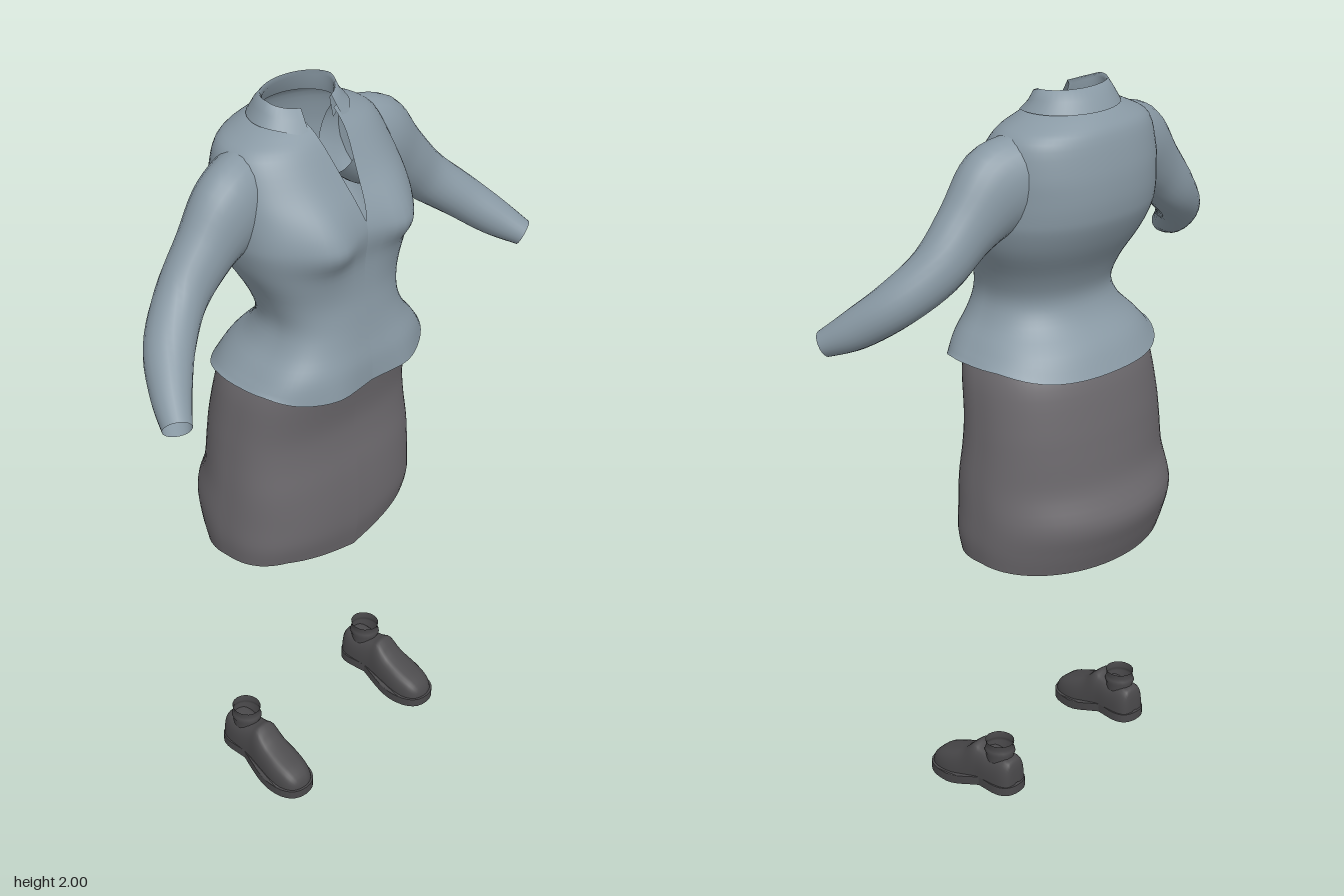
import * as THREE from 'three';

const mat = (name, color) => {
  const m = new THREE.MeshStandardMaterial({ color, side: THREE.DoubleSide });
  m.name = name;
  return m;
};

// Catmull-Rom interpolation between rows of numbers
function smooth(rows, n) {
  const out = [];
  const at = (i) => rows[Math.max(0, Math.min(rows.length - 1, i))];
  for (let i = 0; i < rows.length - 1; i++) {
    for (let k = 0; k < n; k++) {
      const t = k / n;
      out.push(rows[i].map((b, c) => {
        const a = at(i - 1)[c], d = at(i + 1)[c], e = at(i + 2)[c];
        return 0.5 * (2 * b + (d - a) * t + (2 * a - 5 * b + 4 * d - e) * t * t
          + (3 * b - a - 3 * d + e) * t * t * t);
      }));
    }
  }
  out.push(rows[rows.length - 1].slice());
  return out;
}

// Skin over rings of points; closed rings share their first and last column
function loft(rings, closed = true, flip = false) {
  const n = rings[0].length, idx = [];
  for (let r = 0; r < rings.length - 1; r++) {
    for (let c = 0; c < (closed ? n : n - 1); c++) {
      const a = r * n + c, b = r * n + (c + 1) % n, d = a + n, e = b + n;
      if (flip) idx.push(a, d, b, b, d, e);
      else idx.push(a, b, d, b, e, d);
    }
  }
  const g = new THREE.BufferGeometry();
  g.setAttribute('position', new THREE.Float32BufferAttribute(rings.flat(2), 3));
  g.setIndex(idx);
  g.computeVertexNormals();
  return g;
}

const power = (v, p) => Math.sign(v) * Math.abs(v) ** p;

// Body ring: row = [y, frontX, backX, halfZ, frontSquareness, backSquareness, bust, frontGap]
function bodyRing([y, xf, xb, hz, pf, pb, bust = 0, gap = 0], cols, hem) {
  const a0 = gap > 0.002 ? Math.asin(Math.min(1, gap / hz) ** (1 / pf)) : 0;
  const cx = xb + (xf - xb) * 0.54, ring = [];
  for (let i = 0; i <= cols; i++) {
    const a = a0 + (2 * Math.PI - 2 * a0) * i / cols;
    const c = Math.cos(a), p = c > 0 ? pf : pb;
    const z = hz * power(Math.sin(a), p);
    let x = cx + (c > 0 ? xf - cx : cx - xb) * power(c, p);
    if (c > 0) x += bust * Math.exp(-(((Math.abs(z) - 0.12) / 0.075) ** 2));
    ring.push([x, y + (hem ? hem(c, z) : 0), z]);
  }
  return ring;
}

export function createModel() {
  const model = new THREE.Group();
  const shirt = mat('shirt blue grey', 0x8999a4);
  const skirt = mat('skirt grey', 0x6c696d);
  const leather = mat('shoe charcoal', 0x4a494b);
  const add = (name, geo, m, parent = model) => {
    const mesh = new THREE.Mesh(geo, m);
    mesh.name = name;
    parent.add(mesh);
    return mesh;
  };

  // Blouse body with bust, waist, flared hem and an open neckline
  const torso = smooth([
    [1.95, 0.055, -0.12, 0.118, 1, 1, 0, 0.05],
    [1.928, 0.08, -0.15, 0.175, 0.95, 0.95, 0, 0.046],
    [1.895, 0.105, -0.175, 0.228, 0.86, 0.9, 0.004, 0.04],
    [1.82, 0.15, -0.193, 0.252, 0.8, 0.9, 0.01, 0.024],
    [1.76, 0.185, -0.198, 0.26, 0.76, 0.9, 0.025, 0.011],
    [1.71, 0.205, -0.195, 0.264, 0.75, 0.9, 0.035, 0],
    [1.67, 0.208, -0.185, 0.262, 0.75, 0.9, 0.038, 0],
    [1.61, 0.203, -0.155, 0.245, 0.77, 0.9, 0.012, 0],
    [1.53, 0.205, -0.105, 0.207, 0.78, 0.9, 0, 0],
    [1.46, 0.213, -0.08, 0.19, 0.76, 0.9, 0, 0],
    [1.40, 0.222, -0.10, 0.212, 0.72, 0.9, 0.003, 0],
    [1.34, 0.233, -0.155, 0.263, 0.68, 0.9, 0.008, 0],
    [1.28, 0.235, -0.19, 0.29, 0.66, 0.9, 0.015, 0],
  ], 4);
  const sideLift = (i, z) => 0.03 * Math.max(0, (i - 44) / 4) * Math.min(1, Math.abs(z) / 0.28) ** 5;
  add('blouseBody', loft(torso.map((r, i) => bodyRing(r, 64, (c, z) => sideLift(i, z))), false), shirt);

  // Folded collar: outer flap with pointed fronts, top edge and inner stand
  const flapPoint = (c) => -0.03 * Math.max(0, c) ** 3;
  const topSlope = (c) => -0.022 * Math.max(0, c);
  add('collar', loft([
    bodyRing([1.946, 0.085, -0.135, 0.14, 1, 1, 0, 0.06], 40, flapPoint),
    bodyRing([1.975, 0.062, -0.118, 0.122, 1, 1, 0, 0.055], 40, topSlope),
    bodyRing([2.0, 0.045, -0.095, 0.11, 1, 1, 0, 0.052], 40, topSlope),
    bodyRing([1.99, 0.04, -0.088, 0.104, 1, 1, 0, 0.052], 40, topSlope),
    bodyRing([1.945, 0.054, -0.112, 0.112, 1, 1, 0, 0.05], 40, topSlope),
  ], false, true), shirt);

  // Sleeves: stations [x, y, z, horizontal radius, vertical radius]
  const arm = smooth([
    [-0.03, 1.815, 0.16, 0.085, 0.10],
    [-0.008, 1.775, 0.25, 0.085, 0.118],
    [0, 1.70, 0.345, 0.07, 0.085],
    [0.012, 1.615, 0.435, 0.064, 0.069],
    [0.062, 1.54, 0.522, 0.062, 0.06],
    [0.135, 1.475, 0.588, 0.05, 0.051],
    [0.203, 1.432, 0.634, 0.036, 0.034],
  ], 5);
  for (const s of [1, -1]) {
    const up = new THREE.Vector3(0, 1, 0);
    const rings = arm.map(([x, y, z, rh, rv], i) => {
      const a = arm[Math.max(0, i - 1)], b = arm[Math.min(arm.length - 1, i + 1)];
      const t = new THREE.Vector3(b[0] - a[0], b[1] - a[1], b[2] - a[2]).normalize();
      const u = new THREE.Vector3().crossVectors(up, t).normalize();
      const v = new THREE.Vector3().crossVectors(t, u);
      return Array.from({ length: 24 }, (_, k) => {
        const w = k / 24 * 2 * Math.PI;
        const p = new THREE.Vector3(x, y, z)
          .addScaledVector(u, rh * Math.cos(w)).addScaledVector(v, rv * Math.sin(w));
        return [p.x, p.y, p.z * s];
      });
    });
    add(s > 0 ? 'leftSleeve' : 'rightSleeve', loft(rings, true, s > 0), shirt);
  }

  // Skirt: open tube whose hem dips to a point at the front
  const skirtRows = smooth([
    [1.335, 0.205, -0.142, 0.248, 0.72, 0.95],
    [1.26, 0.195, -0.178, 0.275, 0.72, 0.95],
    [1.15, 0.178, -0.2, 0.29, 0.72, 0.97],
    [1.07, 0.18, -0.21, 0.298, 0.72, 0.98],
    [0.98, 0.192, -0.222, 0.307, 0.72, 1],
    [0.89, 0.198, -0.255, 0.314, 0.72, 1],
    [0.82, 0.196, -0.235, 0.316, 0.72, 1],
    [0.765, 0.182, -0.21, 0.31, 0.72, 1],
  ], 4);
  add('skirt', loft(skirtRows.map((r, i) => bodyRing(r, 64, (c, z) => {
    const k = Math.max(0, (i - 20) / 8);
    return k * (c > 0 ? -0.045 * Math.max(0, 1 - Math.abs(z) / 0.22) : 0.02 * c);
  })), false), skirt);

  // Shoe sole outline, heel to toe
  const soleShape = new THREE.Shape();
  soleShape.moveTo(-0.06, 0);
  soleShape.bezierCurveTo(-0.06, 0.065, 0.0, 0.055, 0.05, 0.047);
  soleShape.bezierCurveTo(0.12, 0.065, 0.255, 0.09, 0.255, 0.0);
  soleShape.bezierCurveTo(0.255, -0.09, 0.12, -0.065, 0.05, -0.047);
  soleShape.bezierCurveTo(0.0, -0.055, -0.06, -0.065, -0.06, 0);
  // Upper stations: [x, top y, half width, bottom y]
  const upperRows = smooth([
    [-0.053, 0.065, 0.01, 0.055], [-0.048, 0.125, 0.034, 0.055], [-0.025, 0.138, 0.046, 0.055],
    [0.02, 0.135, 0.048, 0.05], [0.06, 0.143, 0.047, 0.042], [0.085, 0.15, 0.049, 0.034],
    [0.12, 0.118, 0.053, 0.026], [0.17, 0.094, 0.057, 0.02], [0.215, 0.074, 0.05, 0.018],
    [0.24, 0.052, 0.033, 0.016], [0.249, 0.028, 0.008, 0.016],
  ], 3);
  const ankle = [[0.04, 0.09], [0.041, 0.14], [0.045, 0.148], [0.042, 0.157], [0.039, 0.165], [0.042, 0.18]]
    .map(([x, y]) => new THREE.Vector2(x, y));
  for (const s of [1, -1]) {
    const shoe = new THREE.Group();
    shoe.name = s > 0 ? 'leftShoe' : 'rightShoe';

    // Sole sloping down from the low heel to the ball of the foot
    const sole = new THREE.ExtrudeGeometry(soleShape, { depth: 0.026, bevelEnabled: false, curveSegments: 14 });
    sole.rotateX(-Math.PI / 2);
    const p = sole.attributes.position;
    for (let i = 0; i < p.count; i++) {
      const rise = 1 - THREE.MathUtils.smoothstep(p.getX(i), 0.02, 0.17);
      p.setY(i, p.getY(i) + 0.004 + 0.032 * rise);
    }
    sole.computeVertexNormals();
    add('sole', sole, leather, shoe);

    add('upper', loft(upperRows.map(([x, top, w, low]) =>
      Array.from({ length: 17 }, (_, k) => {
        const a = k / 16 * Math.PI;
        return [x, low + (top - low) * Math.sin(a) ** 0.75, w * power(Math.cos(a), 0.55)];
      })), false, true), leather, shoe);

    // Sock cuff around the ankle
    const cuff = add('ankleCuff', new THREE.LatheGeometry(ankle, 20), leather, shoe);
    cuff.position.x = 0.01;
    cuff.scale.z = 0.92;

    shoe.position.z = 0.25 * s;
    shoe.rotation.y = -0.04 * s;
    model.add(shoe);
  }

  // Settle on the ground
  const box = new THREE.Box3().setFromObject(model);
  model.position.y = -box.min.y;
  return model;
}
